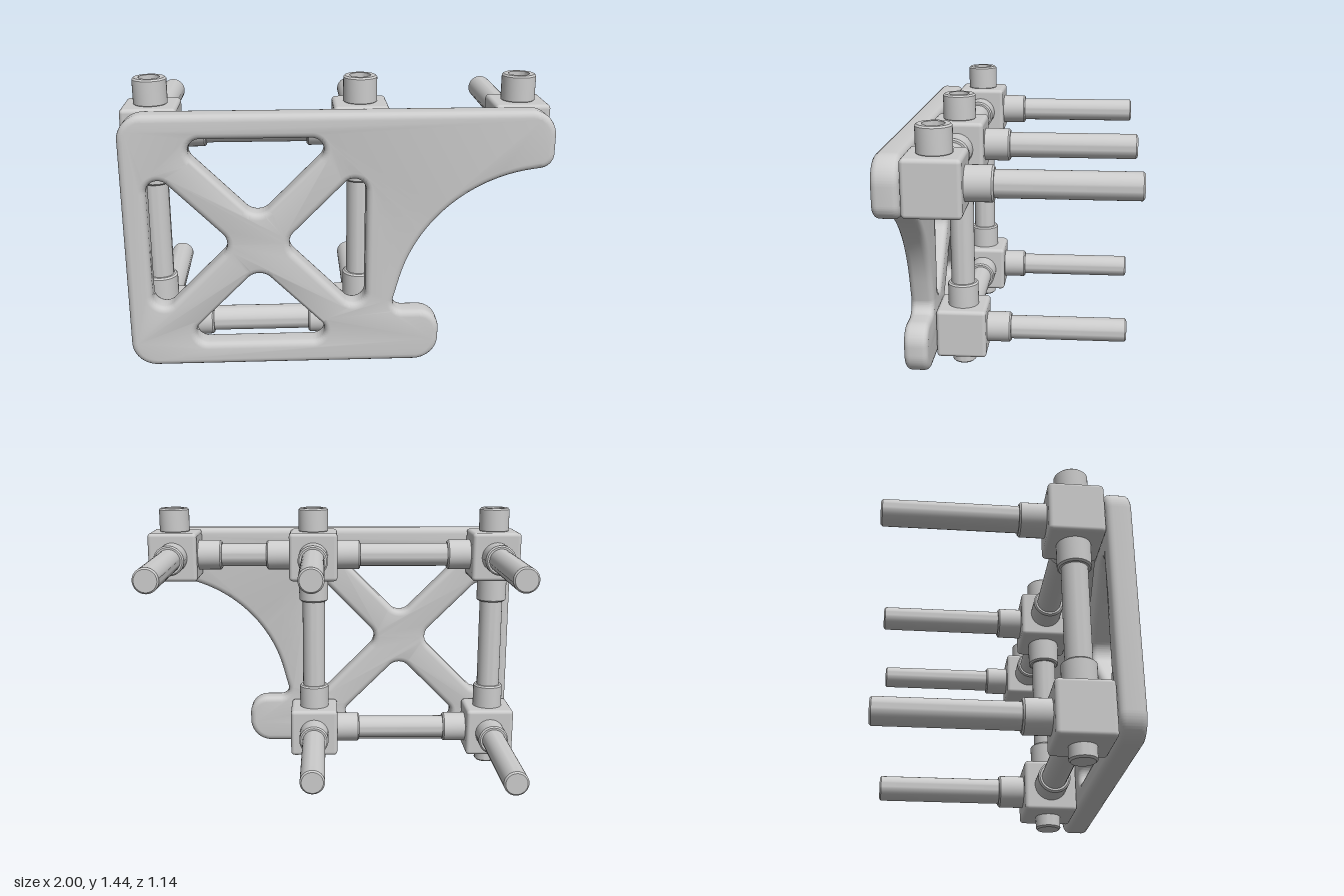
import * as THREE from 'three';
import { toCreasedNormals } from 'three/addons/utils/BufferGeometryUtils.js';
import { RoundedBoxGeometry } from 'three/addons/geometries/RoundedBoxGeometry.js';

const CUBE = 0.26, HALF = CUBE / 2, COLLAR = 0.125;
const COLLAR_R = 0.08, ROD_R = 0.062, BORE_R = 0.05;
const Z = 0.315;              // depth of the tube frame
const LOW = 0.195, HIGH = 1.185; // heights of the two node rows

// Draws a polygon of [x, y, cornerRadius] with true arc corners
function roundedPath(path, pts) {
  const n = pts.length;
  pts.forEach(([x, y, r], i) => {
    const p = new THREE.Vector2(x, y);
    const a = new THREE.Vector2(...pts[(i + n - 1) % n].slice(0, 2)).sub(p).normalize();
    const b = new THREE.Vector2(...pts[(i + 1) % n].slice(0, 2)).sub(p).normalize();
    const half = Math.acos(a.dot(b)) / 2;
    const t = r / Math.tan(half);
    const start = p.clone().addScaledVector(a, t);
    const end = p.clone().addScaledVector(b, t);
    const c = p.clone().addScaledVector(a.clone().add(b).normalize(), r / Math.sin(half));
    if (i === 0) path.moveTo(start.x, start.y);
    path.absarc(c.x, c.y, r,
      Math.atan2(start.y - c.y, start.x - c.x),
      Math.atan2(end.y - c.y, end.x - c.x), a.cross(b) > 0);
  });
  path.closePath();
  return path;
}

export function createModel() {
  const model = new THREE.Group();
  const material = new THREE.MeshStandardMaterial({ color: 0xcccccc });
  const add = (name, geometry) => {
    const mesh = new THREE.Mesh(geometry, material);
    mesh.name = name;
    model.add(mesh);
    return mesh;
  };

  // Turned part running from one point to another; bore > 0 leaves the far end open
  function tube(name, from, to, r, bore = 0) {
    const a = new THREE.Vector3(...from), d = new THREE.Vector3(...to).sub(a);
    const len = d.length(), c = 0.008;
    const profile = [[0, 0], [r - c, 0], [r, c], [r, len - c], [r - c, len]];
    if (bore) profile.push([bore, len], [bore, 0.01], [0, 0.01]);
    else profile.push([0, len]);
    const geo = new THREE.LatheGeometry(profile.map(p => new THREE.Vector2(...p)), 40);
    const mesh = add(name, toCreasedNormals(geo, 0.5));
    mesh.position.copy(a);
    mesh.quaternion.setFromUnitVectors(new THREE.Vector3(0, 1, 0), d.normalize());
  }

  // Rod between two nodes with a collar at each end
  function link(name, a, b) {
    const A = new THREE.Vector3(...a), B = new THREE.Vector3(...b);
    const dir = B.clone().sub(A).normalize();
    const reach = HALF + COLLAR;
    tube(name + 'Rod', a, b, ROD_R);
    tube(name + 'CollarA', a, A.clone().addScaledVector(dir, reach).toArray(), COLLAR_R);
    tube(name + 'CollarB', b, B.clone().addScaledVector(dir, -reach).toArray(), COLLAR_R);
  }

  // Side plate with four triangular windows
  const plate = roundedPath(new THREE.Shape(), [
    [-1, 0.065, 0.12], [0.49, 0.065, 0.12], [0.49, 0.33, 0.1], [0.249, 0.33, 0.05],
    [0.42, 0.968, 0.73], [1, 1.05, 0.07], [1, 1.315, 0.12], [-1, 1.315, 0.12],
  ]);
  const R = 0.057, TIP = 0.075;
  [
    [[-0.765, 1.2, R], [-0.375, 0.81, TIP], [0.015, 1.2, R]],
    [[-0.765, 0.18, R], [0.015, 0.18, R], [-0.375, 0.57, TIP]],
    [[-0.885, 0.295, R], [-0.49, 0.69, TIP], [-0.885, 1.085, R]],
    [[0.13, 0.295, R], [0.13, 1.085, R], [-0.26, 0.69, TIP]],
  ].forEach(w => plate.holes.push(roundedPath(new THREE.Path(), w)));
  const bevel = 0.03;
  const plateGeo = new THREE.ExtrudeGeometry(plate, {
    depth: 0.122 - 2 * bevel, bevelThickness: bevel, bevelSize: bevel,
    bevelOffset: -bevel, bevelSegments: 4, curveSegments: 16,
  });
  plateGeo.translate(0, 0, 0.448 + bevel);
  add('sidePlate', toCreasedNormals(plateGeo, 0.6));

  // Nodes: cube, rearward collar and rod, plus a top socket or a bottom peg
  const nodes = [
    [-0.87, HIGH, -0.57], [0.115, HIGH, -0.57], [0.868, HIGH, -0.57],
    [-0.87, LOW, -0.57], [0.115, LOW, -0.545],
  ];
  for (const [x, y, rear] of nodes) {
    add('nodeCube', new RoundedBoxGeometry(CUBE, CUBE, CUBE, 3, 0.02)).position.set(x, y, Z);
    tube('rearCollar', [x, y, Z], [x, y, Z - HALF - COLLAR], COLLAR_R);
    tube('rearRod', [x, y, Z], [x, y, rear], ROD_R);
    if (y === HIGH) tube('topSocket', [x, y + HALF - 0.005, Z], [x, 1.44, Z], COLLAR_R, BORE_R);
    else tube('bottomPeg', [x, y, Z], [x, 0, Z], ROD_R);
  }

  // Frame between the nodes
  link('topLong', [-0.87, HIGH, Z], [0.115, HIGH, Z]);
  link('topShort', [0.115, HIGH, Z], [0.868, HIGH, Z]);
  link('bottom', [-0.87, LOW, Z], [0.115, LOW, Z]);
  for (const x of [-0.87, 0.115]) link('upright', [x, LOW, Z], [x, HIGH, Z]);

  return model;
}
